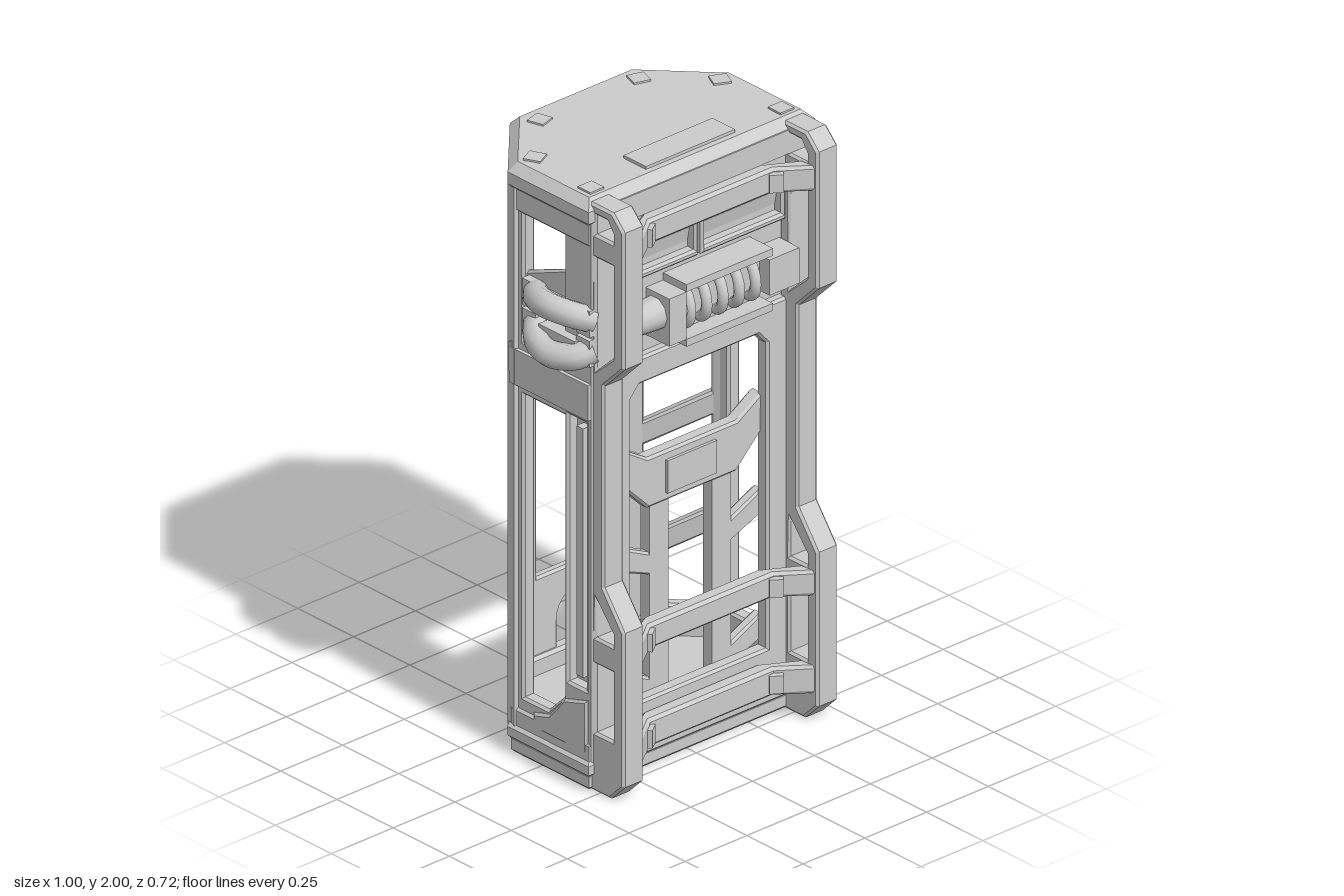
import * as THREE from 'three';

const mat = new THREE.MeshStandardMaterial({ color: 0xcccccc });
const V2 = (p) => new THREE.Vector2(p[0], p[1]);
const rect = (x0, x1, y0, y1) => [[x0, y0], [x1, y0], [x1, y1], [x0, y1]];
const mirrored = (half) => [...half, ...half.slice().reverse().map(([x, y]) => [-x, y])];

function mesh(parent, name, geo, x = 0, y = 0, z = 0) {
  const m = new THREE.Mesh(geo, mat);
  m.name = name;
  m.position.set(x, y, z);
  parent.add(m);
  return m;
}

function box(parent, name, x0, x1, y0, y1, z0, z1) {
  return mesh(parent, name, new THREE.BoxGeometry(x1 - x0, y1 - y0, z1 - z0),
    (x0 + x1) / 2, (y0 + y1) / 2, (z0 + z1) / 2);
}

// Plate with holes and softened edges, lying between z = 0 and z = depth
function plate(pts, holes, depth, bevel = 0.008) {
  const shape = new THREE.Shape(pts.map(V2));
  for (const h of holes) shape.holes.push(new THREE.Path(h.map(V2)));
  const geo = new THREE.ExtrudeGeometry(shape, {
    depth: depth - 2 * bevel, bevelEnabled: true, bevelSize: bevel,
    bevelThickness: bevel, bevelOffset: -bevel, bevelSegments: 1,
  });
  return geo.translate(0, 0, bevel);
}

// Upright wall from plan point a to b, left to right as seen from outside
function wall(parent, name, a, b, pts, holes, depth) {
  const d = new THREE.Vector3(b[0] - a[0], 0, b[1] - a[1]).normalize();
  const up = new THREE.Vector3(0, 1, 0);
  const n = d.clone().cross(up);
  const m = mesh(parent, name, plate(pts, holes, depth).translate(0, 0, -depth), a[0], 0, a[1]);
  m.quaternion.setFromRotationMatrix(new THREE.Matrix4().makeBasis(d, up, n));
  return m;
}

// Horizontal slab from plan points [x, z]
function slab(parent, name, pts, y0, y1, holes = [], bevel = 0.01) {
  const flip = (l) => l.map(([x, z]) => [x, -z]);
  const m = mesh(parent, name, plate(flip(pts), holes.map(flip), y1 - y0, bevel), 0, y0, 0);
  m.rotation.x = -Math.PI / 2;
  return m;
}

// Plan of the booth, grown or shrunk by d
const plan = (d = 0) => mirrored([[0.458 + d, 0.23 + d], [0.458 + d, -0.13 - d * 0.4], [0.24 + d * 0.4, -0.36 - d]]);

function sideParts(parent, s) {
  const g = new THREE.Group();
  g.name = s > 0 ? 'leftSide' : 'rightSide';
  g.scale.x = s;
  parent.add(g);

  // Side wall: doorway, recessed channel and upper window
  wall(g, 'sideWall', [0.44, 0.23], [0.44, -0.13], rect(0, 0.36, 0.08, 1.93), [
    [[0.13, 0.27], [0.2, 0.2], [0.31, 0.2], [0.31, 1.22], [0.13, 1.22]],
    rect(0.03, 0.112, 0.33, 1.23),
    rect(0.13, 0.31, 1.4, 1.83),
  ], 0.05);
  box(g, 'channelBack', 0.385, 0.4, 0.3, 1.26, 0.105, 0.22);
  box(g, 'channelRib', 0.39, 0.43, 0.36, 1.2, 0.145, 0.175);
  box(g, 'waistMoulding', 0.43, 0.452, 1.25, 1.37, -0.13, 0.22);
  wall(g, 'footGusset', [0.45, 0.23], [0.45, -0.13],
    [[0.02, 0.12], [0.26, 0.12], [0.26, 0.17], [0.19, 0.19], [0.12, 0.27], [0.02, 0.3]], [], 0.02);

  // Corner pillars
  box(g, 'sidePillar', 0.39, 0.445, 0.08, 1.93, -0.15, -0.095).rotation.y = 0.37;
  box(g, 'rearPillar', 0.2, 0.25, 0.08, 1.24, -0.352, -0.302).rotation.y = 1.17;

  // Angled rear wall with slanted windows
  const slant = (t0, t1, b0, b1) => [[0.055, b0], [0.262, b1], [0.262, t1], [0.055, t0]];
  wall(g, 'angledWall', [0.445, -0.13], [0.24, -0.352],
    [[0, 0.08], [0.302, 0.08], [0.302, 1.26], [0, 1.38]],
    [slant(1.26, 1.15, 0.92, 0.81), slant(0.84, 0.73, 0.53, 0.42), slant(0.45, 0.34, 0.2, 0.2)], 0.04);
  wall(g, 'slopedRail', [0.455, -0.13], [0.245, -0.362],
    [[0, 1.28], [0.313, 1.17], [0.313, 1.27], [0, 1.39]], [], 0.055);

  // Front post: stepped outline with open slots
  const post = mesh(g, 'frontPost', plate(
    [[0.19, 0], [0.3, 0], [0.36, 0.06], [0.36, 0.58], [0.27, 0.7], [0.27, 1.38], [0.36, 1.47],
      [0.36, 1.93], [0.31, 1.98], [0.19, 1.98]],
    [rect(0.235, 0.31, 0.2, 0.43),
      [[0.235, 0.52], [0.31, 0.52], [0.31, 0.56], [0.235, 0.655]],
      [[0.235, 1.42], [0.31, 1.49], [0.31, 1.8], [0.235, 1.8]],
      [[0.235, 1.88], [0.31, 1.88], [0.31, 1.91], [0.285, 1.945], [0.235, 1.945]]], 0.085), 0.435);
  post.rotation.y = -Math.PI / 2;

  // Doorway column with slanted braces to the frame
  box(g, 'doorColumn', 0.088, 0.165, 0.2, 0.95, 0.14, 0.18);
  for (const y of [0.65, 0.23]) {
    wall(g, 'doorBrace', [0, 0.18], [1, 0.18],
      [[0.15, y - 0.04], [0.29, y + 0.015], [0.29, y + 0.1], [0.15, y + 0.035]], [], 0.04);
  }

  // Louvred vent in the upper panel
  wall(g, 'ventFrame', [0, 0.225], [1, 0.225], rect(0.005, 0.35, 1.655, 1.795),
    [rect(0.022, 0.332, 1.68, 1.77)], 0.045);
  box(g, 'ventSlat', 0.02, 0.335, 1.69, 1.75, 0.188, 0.194).rotation.x = 0.2;

  // Roof pads
  [[0.2, -0.27, 0.3], [0.375, -0.1, 0.45], [0.385, 0.16, 0]].forEach(([x, z, r]) => {
    box(g, 'roofPad', x - 0.028, x + 0.028, 1.97, 1.996, z - 0.028, z + 0.028).rotation.y = -r;
  });
}

export function createModel() {
  const model = new THREE.Group();
  model.name = 'booth';
  const body = new THREE.Group();
  body.name = 'body';
  body.position.x = 0.04;
  model.add(body);

  // Base with a recessed underside, and roof
  slab(body, 'baseRim', plan(-0.01), 0, 0.06, [plan(-0.05)], 0.012);
  slab(body, 'floor', plan(-0.03), 0.03, 0.09);
  slab(body, 'baseLip', plan(0), 0.05, 0.1);
  slab(body, 'baseRing', plan(-0.01), 0.09, 0.16, [plan(-0.06)]);
  slab(body, 'roofSkirt', plan(-0.012), 1.83, 1.92, [plan(-0.05)]);
  slab(body, 'roofRing', plan(0), 1.9, 1.97, [plan(-0.07)], 0.02);
  slab(body, 'roofSlab', plan(0), 1.92, 1.99, [], 0.03);
  box(body, 'roofPlate', -0.18, 0.18, 1.97, 2, 0.08, 0.18);

  for (const s of [1, -1]) sideParts(body, s);

  // Front frame with a chamfered doorway
  wall(body, 'frontFrame', [-0.4, 0.22], [0.4, 0.22], rect(0, 0.8, 0.08, 1.39),
    [mirrored([[0.275, 0.23], [0.275, 1.26], [0.24, 1.3]]).map(([x, y]) => [x + 0.4, y])], 0.05);
  wall(body, 'doorBand', [0, 0.19], [1, 0.19],
    mirrored([[0.28, 0.95], [0.28, 1.08], [0.18, 1.02]]).concat([[-0.18, 0.85], [0.18, 0.85]]), [], 0.05);
  box(body, 'bandPad', -0.11, 0.09, 0.88, 0.99, 0.17, 0.2);

  // Upper front panel with coil and conduit
  box(body, 'upperPanel', -0.4, 0.4, 1.38, 1.94, 0.13, 0.19);
  box(body, 'header', -0.36, 0.36, 1.88, 1.96, 0.18, 0.235);
  box(body, 'coilTray', -0.12, 0.23, 1.43, 1.61, 0.18, 0.235);
  box(body, 'coilTrayTop', -0.12, 0.23, 1.6, 1.625, 0.18, 0.295);
  box(body, 'coilTrayBottom', -0.12, 0.23, 1.415, 1.44, 0.18, 0.295);
  for (let i = 0; i < 5; i++) {
    const rib = mesh(body, 'coilRib', new THREE.TorusGeometry(0.06, 0.018, 8, 16), -0.075 + i * 0.066, 1.52, 0.225);
    rib.rotation.set(0, Math.PI / 2 - 0.3, 0);
  }
  const conduit = mesh(body, 'conduit', new THREE.CylinderGeometry(0.045, 0.06, 0.24, 10), -0.23, 1.53, 0.23);
  conduit.rotation.z = Math.PI / 2;
  box(body, 'conduitClamp', -0.19, -0.12, 1.44, 1.6, 0.18, 0.295);
  box(body, 'coilEnd', 0.23, 0.35, 1.46, 1.58, 0.18, 0.28);

  // Cranked crossbars between the posts
  const bar = [[0.355, 0.35], [0.25, 0.275], [-0.25, 0.275], [-0.355, 0.35],
    [-0.355, 0.29], [-0.23, 0.22], [0.23, 0.22], [0.355, 0.29]];
  for (const [y0, y1] of [[0.1, 0.195], [0.43, 0.515], [1.795, 1.88]]) {
    slab(body, 'crossbar', bar, y0, y1);
    for (const x of [-0.265, 0.255]) {
      const y = (y0 + y1) / 2;
      box(body, 'barBolt', x - 0.022, x + 0.022, y - 0.03, y + 0.03, 0.26, 0.3).rotation.y = -0.6 * Math.sign(x);
    }
  }

  // Rear wall with a tall opening and an arched hatch
  const arch = [[-0.085, 0.12], [0.085, 0.12]];
  for (let i = 0; i <= 12; i++) {
    const a = (i / 12) * Math.PI;
    arch.push([0.085 * Math.cos(a), 0.25 + 0.085 * Math.sin(a)]);
  }
  const shift = (l) => l.map(([x, y]) => [x + 0.24, y]);
  wall(body, 'rearWall', [0.24, -0.35], [-0.24, -0.35], rect(0, 0.48, 0.08, 1.22),
    [shift(arch), shift(rect(-0.168, 0.168, 0.42, 1.08))], 0.035);
  wall(body, 'rearRail', [0.245, -0.36], [-0.245, -0.36], rect(0, 0.49, 1.14, 1.26), [], 0.06);
  mesh(body, 'archRim', new THREE.TorusGeometry(0.095, 0.014, 6, 20, Math.PI), 0, 0.25, -0.346);
  for (const x of [-0.095, 0.095]) box(body, 'archJamb', x - 0.014, x + 0.014, 0.12, 0.25, -0.36, -0.332);

  // Right side panel below its window, carrying two looped hoses
  wall(body, 'hosePanel', [-0.425, -0.09], [-0.425, 0.11],
    [[0, 1.39], [0.2, 1.39], [0.2, 1.71], [0, 1.63]], [], 0.02);
  for (const [y, dy] of [[1.6, 0.02], [1.46, -0.02]]) {
    const path = new THREE.CatmullRomCurve3([
      [-0.42, y - dy, 0.21], [-0.47, y, 0.18], [-0.498, y + dy / 2, 0.1],
      [-0.475, y, 0.02], [-0.42, y - dy, -0.04],
    ].map((p) => new THREE.Vector3(...p)));
    mesh(body, 'hose', new THREE.TubeGeometry(path, 24, 0.042, 10));
    box(body, 'hoseBracket', -0.47, -0.42, y - dy - 0.03, y - dy + 0.03, 0.02, 0.18);
    for (const z of [0.2, -0.04]) {
      box(body, 'hoseSocket', -0.455, -0.42, y - dy - 0.045, y - dy + 0.045, z - 0.03, z + 0.03);
    }
  }
  return model;
}
